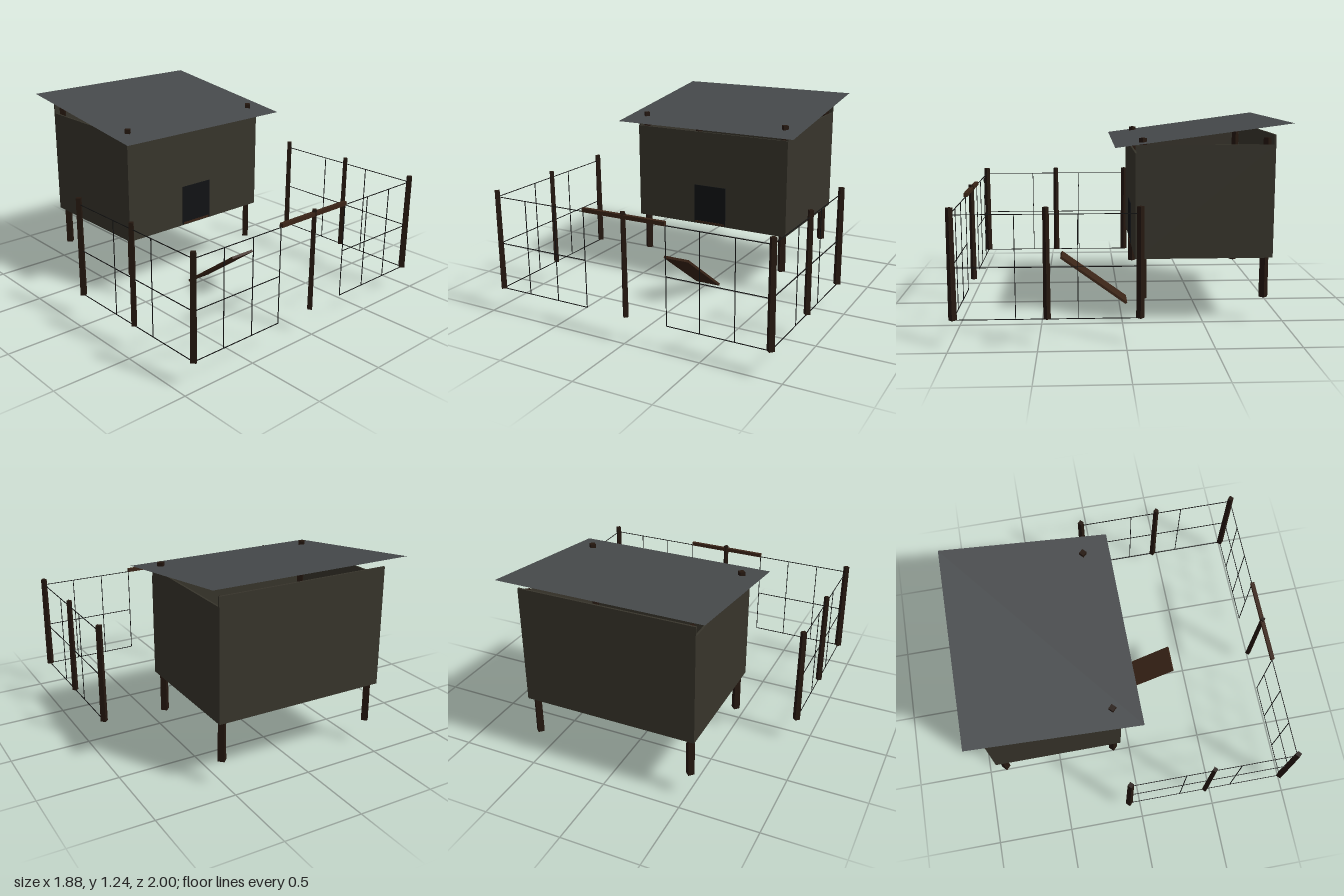
import * as THREE from 'three';

const mat = (color) => new THREE.MeshStandardMaterial({ color });

export function createModel() {
  const model = new THREE.Group();
  const wood = mat(0x24170f), plank = mat(0x3a2417), wall = mat(0x37342b);
  const wire = mat(0x141414), dark = mat(0x101214), slate = mat(0x46494b);
  wood.flatShading = true;
  slate.side = THREE.DoubleSide;

  const add = (name, geometry, material, x, y, z) => {
    const mesh = new THREE.Mesh(geometry, material);
    mesh.name = name;
    mesh.position.set(x, y, z);
    model.add(mesh);
    return mesh;
  };
  const box = (name, w, h, d, material, x, y, z) =>
    add(name, new THREE.BoxGeometry(w, h, d), material, x, y, z);
  // Four-sided tapered post standing between two heights
  const post = (name, x, z, r, bottom, top) =>
    add(name, new THREE.CylinderGeometry(r * 0.85, r, top - bottom, 4), wood, x, (top + bottom) / 2, z);

  // Hut walls, each with its own height
  const base = 0.42, front = -0.08, back = -0.908, t = 0.012;
  const mid = (front + back) / 2;
  box('frontWall', 1.11, 1.06 - base, t, wall, 0, (1.06 + base) / 2, front);
  box('backWall', 1.11, 1.17 - base, t, wall, 0, (1.17 + base) / 2, back);
  for (const s of [-1, 1])
    box('sideWall', t, 1.11 - base, front - back, wall, s * 0.549, (1.11 + base) / 2, mid);
  box('floor', 1.09, 0.014, front - back - t, wood, 0, base + 0.007, mid);
  box('doorway', 0.235, 0.265, 0.006, dark, 0, 0.56, front + t / 2 + 0.002);
  box('doorSill', 0.22, 0.014, 0.008, plank, 0, 0.434, front + t / 2 + 0.003);

  // Hut legs run up through the roof at the front
  for (const s of [-1, 1])
    for (const z of [-0.12, -0.87]) post('leg', s * 0.515, z, 0.028, 0.165, 1.15);

  // Thin sloping roof, lower at the front
  const rise = 0.14, run = 1.05;
  const roof = add('roof', new THREE.PlaneGeometry(1.28, Math.hypot(rise, run)), slate, 0, 1.172, -0.475);
  roof.rotation.x = -Math.PI / 2 + Math.atan2(rise, run);

  // Loose ramp leaning up and away from the hut
  const ramp = box('ramp', 0.18, 0.016, 0.54, plank, 0, 0.167, 0.17);
  ramp.rotation.x = -0.63;

  // Fence posts, with a beam over the front gap
  const fx = 0.918, fz = 0.975, rearZ = -0.08;
  for (const s of [-1, 1]) {
    post('cornerPost', s * fx, fz, 0.024, 0.165, 0.805);
    post('middlePost', s * fx, 0.447, 0.021, 0.165, 0.805);
    post('rearPost', s * fx, rearZ, 0.024, 0.165, 0.805);
  }
  post('gatePost', 0, fz, 0.02, 0.165, 0.805);
  box('gateBeam', 0.55, 0.024, 0.024, plank, 0, 0.777, fz);

  // Wire panels
  const w = 0.004, low = 0.165, high = 0.765, gap = 0.275;
  const midY = (low + high) / 2;
  for (const s of [-1, 1]) {
    for (const y of [low, midY, high]) {
      box('frontWire', fx - gap, w, w, wire, s * (fx + gap) / 2, y, fz);
      box('sideWire', w, w, fz - rearZ, wire, s * fx, y, (fz + rearZ) / 2);
    }
    for (let i = 0; i < 3; i++)
      box('frontUpright', w, high - low, w, wire, s * (gap + (fx - gap) * i / 3), midY, fz);
    for (let i = 1; i < 3; i++)
      box('sideUpright', w, high - low, w, wire, s * fx, midY, fz + (rearZ - fz) * i / 3);
  }
  return model;
}
